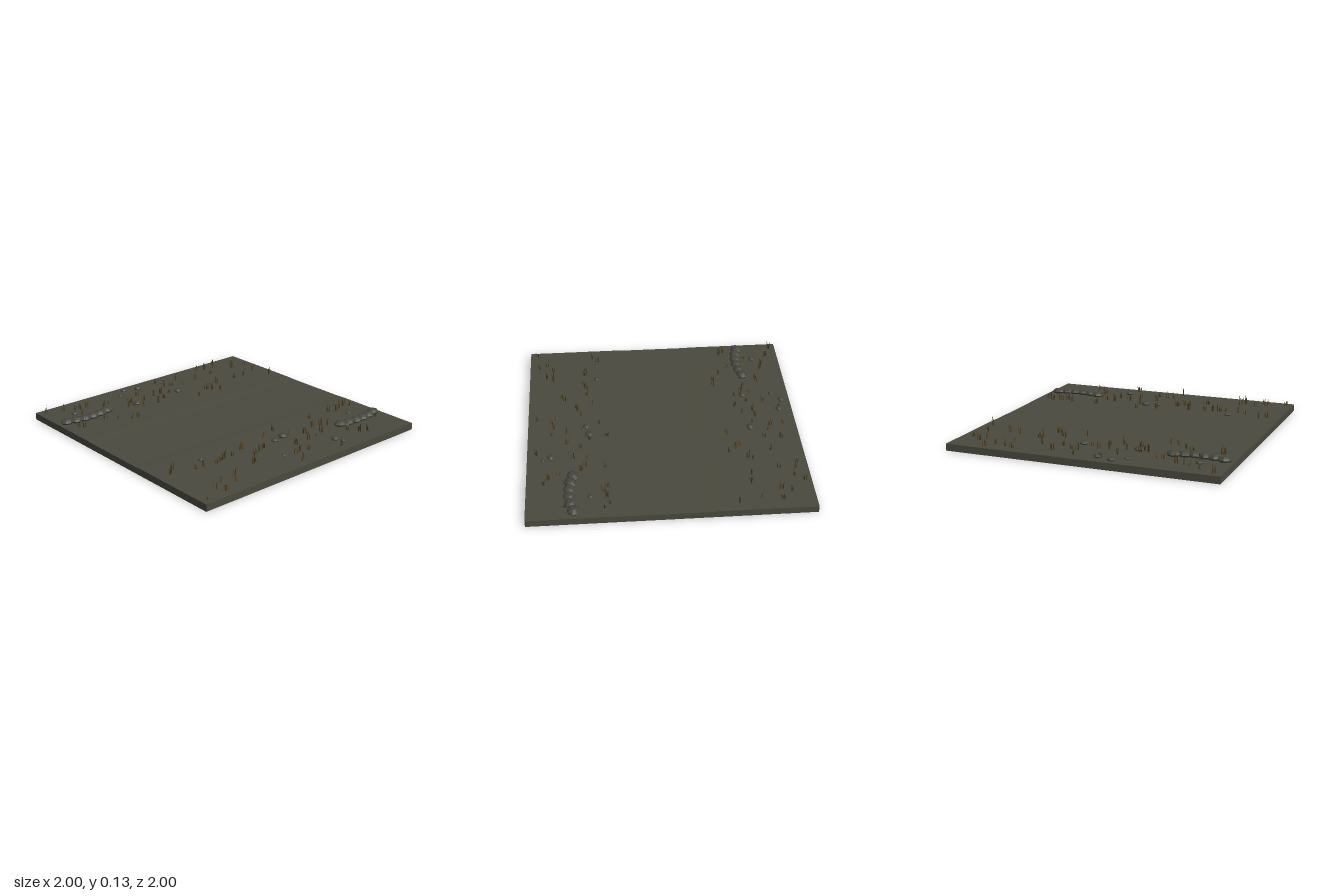
import * as THREE from 'three';

const mat = (name, color, extra = {}) => {
  const m = new THREE.MeshStandardMaterial({ color, ...extra });
  m.name = name;
  return m;
};

function seeded(seed) {
  return () => {
    seed = (seed * 1664525 + 1013904223) % 4294967296;
    return seed / 4294967296;
  };
}

export function createModel() {
  const root = new THREE.Group();
  root.name = 'grassyGroundTile';
  const rand = seeded(41);
  const range = (a, b) => a + (b - a) * rand();

  const earth = mat('earth', 0x4a493e);
  const stone = mat('stone', 0x45463e, { flatShading: true });
  const dryGrass = mat('dryGrass', 0x5c4522, { side: THREE.DoubleSide });
  const darkGrass = mat('darkGrass', 0x3e3720, { side: THREE.DoubleSide });

  // Ground slab with a very shallow worn track across the middle
  const profile = new THREE.Shape([
    [-1, 0], [1, 0], [1, 0.051], [0.32, 0.051], [0.24, 0.048],
    [-0.24, 0.048], [-0.32, 0.051], [-1, 0.051],
  ].map(([a, b]) => new THREE.Vector2(a, b)));
  const slab = new THREE.ExtrudeGeometry(profile, { depth: 2, bevelEnabled: false });
  slab.translate(0, 0, -1).rotateY(Math.PI / 2);
  const ground = new THREE.Mesh(slab, earth);
  ground.name = 'ground';
  root.add(ground);

  // Faceted flat-topped stone of unit radius and unit height
  const stoneGeo = new THREE.LatheGeometry(
    [[0.8, 0], [1, 0.4], [0.8, 0.75], [0.45, 1], [0, 1]].map(([r, y]) => new THREE.Vector2(r, y)), 8);
  const addStone = (parent, name, x, z, r, h, turn) => {
    const m = new THREE.Mesh(stoneGeo, stone);
    m.name = name;
    m.position.set(x, 0.049, z);
    m.scale.set(r, h, r * 0.82);
    m.rotation.y = turn;
    parent.add(m);
  };

  // Two curved rows of touching stones at opposite corners
  for (const [name, cx, cz] of [['backStoneRow', -0.75, -0.65], ['frontStoneRow', 0.75, 0.7]]) {
    const row = new THREE.Group();
    row.name = name;
    for (let i = 0; i < 6; i++) {
      const t = (i - 2.5) / 2.5;
      addStone(row, 'rowStone', cx + t * 0.178, cz - 0.027 * t * t, 0.053, 0.037, -t * 0.12);
    }
    root.add(row);
  }

  // Loose stones: x, z, radius
  const loose = new THREE.Group();
  loose.name = 'looseStones';
  for (const [x, z, r] of [
    [-0.225, -0.935, 0.03], [-0.11, -0.9, 0.03], [-0.31, -0.865, 0.02], [-0.79, -0.785, 0.028],
    [-0.305, -0.645, 0.033], [0.1, -0.65, 0.033], [-0.6, 0.475, 0.026], [0.005, 0.57, 0.03],
    [0.1, 0.55, 0.038], [0.02, 0.588, 0.015], [0.785, 0.555, 0.022], [0.305, 0.695, 0.016],
    [-0.12, 0.79, 0.017], [0.35, 0.83, 0.031], [0.375, 0.885, 0.02], [0.6, 0.71, 0.025],
  ]) addStone(loose, 'looseStone', x, z, r, r * 0.75, 0);
  root.add(loose);

  // Grass tufts on both verges: pointed upright blades, gathered by colour
  const blades = { dry: [], dark: [] };
  const addBlade = (list, x, z, h) => {
    const a = range(0, Math.PI), w = range(0.003, 0.005), lean = range(-0.012, 0.012);
    const c = Math.cos(a), s = Math.sin(a), y = 0.049;
    const at = (d, up) => [x + c * d, y + up, z + s * d];
    const left = at(-w, 0), right = at(w, 0), tip = at(lean, h);
    const midL = at(-w * 0.8 + lean * 0.35, h * 0.55), midR = at(w * 0.8 + lean * 0.35, h * 0.55);
    list.push(...left, ...right, ...midR, ...left, ...midR, ...midL, ...midL, ...midR, ...tip);
  };
  for (const side of [-1, 1]) {
    for (let i = 0; i < 50; i++) {
      const x = -0.95 + (i + rand()) * 0.038;
      const z = side * range(0.41, 0.95);
      const tall = range(0.045, 0.08);
      for (let k = 0; k < 5; k++) {
        addBlade(k % 2 ? blades.dark : blades.dry,
          x + range(-0.012, 0.012), z + range(-0.012, 0.012), tall * range(0.6, 1));
      }
    }
  }
  for (const [name, list, material] of [
    ['dryGrassBlades', blades.dry, dryGrass], ['darkGrassBlades', blades.dark, darkGrass],
  ]) {
    const g = new THREE.BufferGeometry();
    g.setAttribute('position', new THREE.Float32BufferAttribute(list, 3));
    g.computeVertexNormals();
    const mesh = new THREE.Mesh(g, material);
    mesh.name = name;
    root.add(mesh);
  }
  return root;
}
